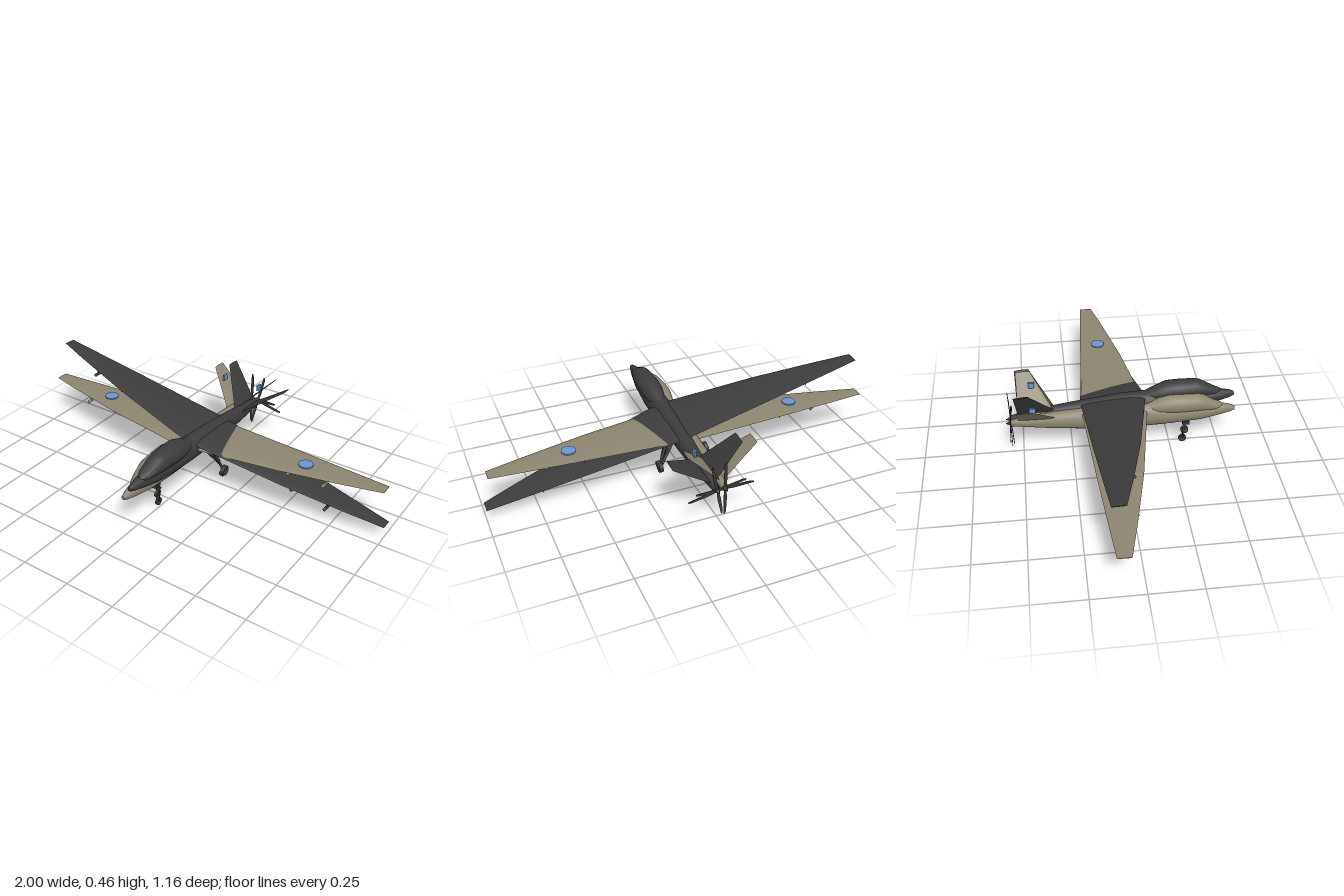
import * as THREE from 'three';
import { toCreasedNormals } from 'three/addons/utils/BufferGeometryUtils.js';

const material = (name, color) => new THREE.MeshStandardMaterial({ name, color });

// Skin through a list of closed rings, with flat caps at both ends
function loft(rings, crease = 0.6) {
  const n = rings[0].length, index = [];
  for (let i = 0; i < rings.length - 1; i++) {
    for (let j = 0; j < n; j++) {
      const p = i * n + j, q = i * n + (j + 1) % n;
      index.push(p, p + n, q, q, p + n, q + n);
    }
  }
  const last = (rings.length - 1) * n;
  for (let j = 1; j < n - 1; j++) index.push(0, j, j + 1, last, last + j + 1, last + j);
  const geometry = new THREE.BufferGeometry();
  geometry.setAttribute('position', new THREE.Float32BufferAttribute(rings.flat(2), 3));
  geometry.setIndex(index);
  return toCreasedNormals(geometry, crease);
}

const around = (n, f) => Array.from({ length: n }, (_, j) => f(j * 2 * Math.PI / n));

// Body sections: z, bottom, top, half width
const body = (sections) => loft(sections.map(([z, lo, hi, w]) =>
  around(24, a => [w * Math.cos(a), (lo + hi) / 2 + (hi - lo) / 2 * Math.sin(a), z])));

// Aerofoil sections along x: x, y, leading z, trailing z, half thickness
const foil = (sections) => loft(sections.map(([x, y, lead, trail, t]) => around(16, a => {
  const u = (1 + Math.cos(a)) / 2;
  return [x, y + t * Math.sin(a) * (0.4 + 0.75 * u), trail + (lead - trail) * u];
})));

// Sections for one side become a full tip-to-tip list
const bothSides = (half) => [
  ...half.slice().reverse().map(([x, ...rest]) => [-x, ...rest]),
  ...half.filter(([x]) => x > 0),
];

function createAircraft(name, paint, dark, metal) {
  const craft = new THREE.Group();
  craft.name = name;
  const add = (part, geometry, mat, x = 0, y = 0, z = 0, parent = craft) => {
    const mesh = new THREE.Mesh(geometry, mat);
    mesh.name = part;
    mesh.position.set(x, y, z);
    parent.add(mesh);
    return mesh;
  };
  const rod = (part, from, to, r, mat) => {
    const a = new THREE.Vector3(...from), b = new THREE.Vector3(...to);
    const mesh = add(part, new THREE.CylinderGeometry(r, r, a.distanceTo(b), 10), mat);
    mesh.position.lerpVectors(a, b, 0.5);
    mesh.quaternion.setFromUnitVectors(new THREE.Vector3(0, 1, 0), b.sub(a).normalize());
  };

  // Fuselage and the bulged nose fairing
  add('fuselage', body([
    [0.58, -0.01, 0.01, 0.01], [0.555, -0.02, 0.022, 0.018], [0.5, -0.032, 0.035, 0.03],
    [0.4, -0.048, 0.045, 0.046], [0.25, -0.058, 0.062, 0.055], [0.14, -0.063, 0.069, 0.055],
    [0, -0.065, 0.07, 0.052], [-0.2, -0.056, 0.057, 0.043], [-0.35, -0.042, 0.046, 0.034],
    [-0.5, -0.022, 0.029, 0.022], [-0.55, -0.016, 0.018, 0.016],
  ]), paint);
  add('noseFairing', body([
    [0.515, 0.012, 0.034, 0.012], [0.48, 0.008, 0.052, 0.032], [0.41, 0.005, 0.096, 0.046],
    [0.385, 0.005, 0.103, 0.05], [0.3, 0.005, 0.108, 0.055], [0.24, 0.005, 0.109, 0.054],
    [0.18, 0.01, 0.088, 0.044], [0.12, 0.02, 0.066, 0.025],
  ]), paint);

  // Wing and V tail, each one piece from tip to tip
  add('wing', foil(bothSides([
    [0, 0.043, 0.132, -0.2, 0.016], [0.49, 0.042, 0.048, -0.168, 0.009],
    [0.8, 0.041, -0.022, -0.146, 0.005], [0.985, 0.041, -0.068, -0.132, 0.002],
  ])), paint);
  add('vTail', foil(bothSides([
    [0, 0.01, -0.315, -0.515, 0.008], [0.17, 0.185, -0.442, -0.516, 0.004],
  ])), paint);

  // Pusher propeller
  const spinner = add('spinner', new THREE.ConeGeometry(0.018, 0.04, 16), dark, 0, 0, -0.56);
  spinner.rotation.x = -Math.PI / 2;
  const propeller = new THREE.Group();
  propeller.name = 'propeller';
  propeller.position.z = -0.555;
  craft.add(propeller);
  const bladeShape = new THREE.Shape([[-0.004, 0], [0.004, 0], [0.009, 0.05], [0.007, 0.13],
    [0.002, 0.145], [-0.004, 0.145], [-0.007, 0.05]].map(p => new THREE.Vector2(...p)));
  const bladeGeometry = new THREE.ExtrudeGeometry(bladeShape, { depth: 0.003, bevelEnabled: false });
  for (let i = 0; i < 4; i++) {
    add('blade', bladeGeometry, dark, 0, 0, 0, propeller).rotation.z = i * Math.PI / 2;
  }

  // Pylons and stores under the wing
  for (const side of [-1, 1]) {
    for (const x of [0.34, 0.525, 0.71]) {
      const store = new THREE.Group();
      store.name = 'wingStore';
      store.position.set(side * x, 0.003, -0.055);
      craft.add(store);
      add('pylon', new THREE.BoxGeometry(0.006, 0.04, 0.06), paint, 0, 0.017, 0, store);
      const tube = add('storeBody', new THREE.CapsuleGeometry(0.008, 0.09, 4, 10), paint, 0, 0, 0, store);
      tube.rotation.x = Math.PI / 2;
      for (const turn of [0, Math.PI / 2]) {
        add('storeFin', new THREE.BoxGeometry(0.034, 0.002, 0.014), paint, 0, 0, -0.04, store)
          .rotation.z = turn;
      }
    }
  }

  // Landing gear
  const wheel = (part, x, y, z, r, w) => {
    add(part, new THREE.CylinderGeometry(r, r, w, 20), dark, x, y, z).rotation.z = Math.PI / 2;
    add('wheelHub', new THREE.CylinderGeometry(r * 0.5, r * 0.5, w + 0.004, 14), metal, x, y, z)
      .rotation.z = Math.PI / 2;
  };
  rod('noseStrut', [0, -0.04, 0.33], [0, -0.135, 0.32], 0.006, dark);
  for (const side of [-1, 1]) {
    rod('noseFork', [side * 0.009, -0.13, 0.322], [side * 0.009, -0.175, 0.318], 0.003, dark);
    rod('mainStrut', [side * 0.03, -0.02, -0.04], [side * 0.122, -0.155, -0.075], 0.007, dark);
    rod('mainBrace', [side * 0.04, -0.03, -0.01], [side * 0.115, -0.14, -0.07], 0.004, dark);
    wheel('mainWheel', side * 0.13, -0.165, -0.075, 0.027, 0.018);
  }
  add('noseForkBridge', new THREE.BoxGeometry(0.024, 0.006, 0.012), dark, 0, -0.132, 0.321);
  add('noseSensor', new THREE.BoxGeometry(0.022, 0.018, 0.035), dark, 0, -0.073, 0.332);
  wheel('noseWheel', 0, -0.175, 0.318, 0.02, 0.012);
  return craft;
}

export function createModel() {
  const tan = material('tan paint', 0x8c8570);
  const charcoal = material('charcoal paint', 0x3c3c3c);
  const black = material('dark grey', 0x383836);
  const metal = material('hub grey', 0x55544e);
  const blue = material('blue marking', 0x6996cf);
  const model = new THREE.Group();
  model.name = 'aircraftPair';

  // Level aircraft
  const level = createAircraft('levelAircraft', tan, black, metal);
  level.position.set(-0.015, 0.195, 0);
  // Banked aircraft, nose raised
  const banked = createAircraft('bankedAircraft', charcoal, charcoal, metal);
  banked.position.set(0.024, 0.224, 0);
  banked.rotation.set(-0.06, 0, -0.209);
  model.add(level, banked);

  // Blue markings on the wing and above the tail
  for (const side of [-1, 1]) {
    const disc = new THREE.Mesh(new THREE.CylinderGeometry(0.036, 0.036, 0.006, 12), blue);
    disc.name = 'wingMarking';
    disc.position.set(side * 0.59, 0.051, -0.065);
    const plate = new THREE.Mesh(new THREE.BoxGeometry(0.009, 0.03, 0.03), blue);
    plate.name = 'tailMarking';
    plate.position.set(side * 0.105, 0.147, -0.44);
    level.add(disc, plate);
  }
  return model;
}
